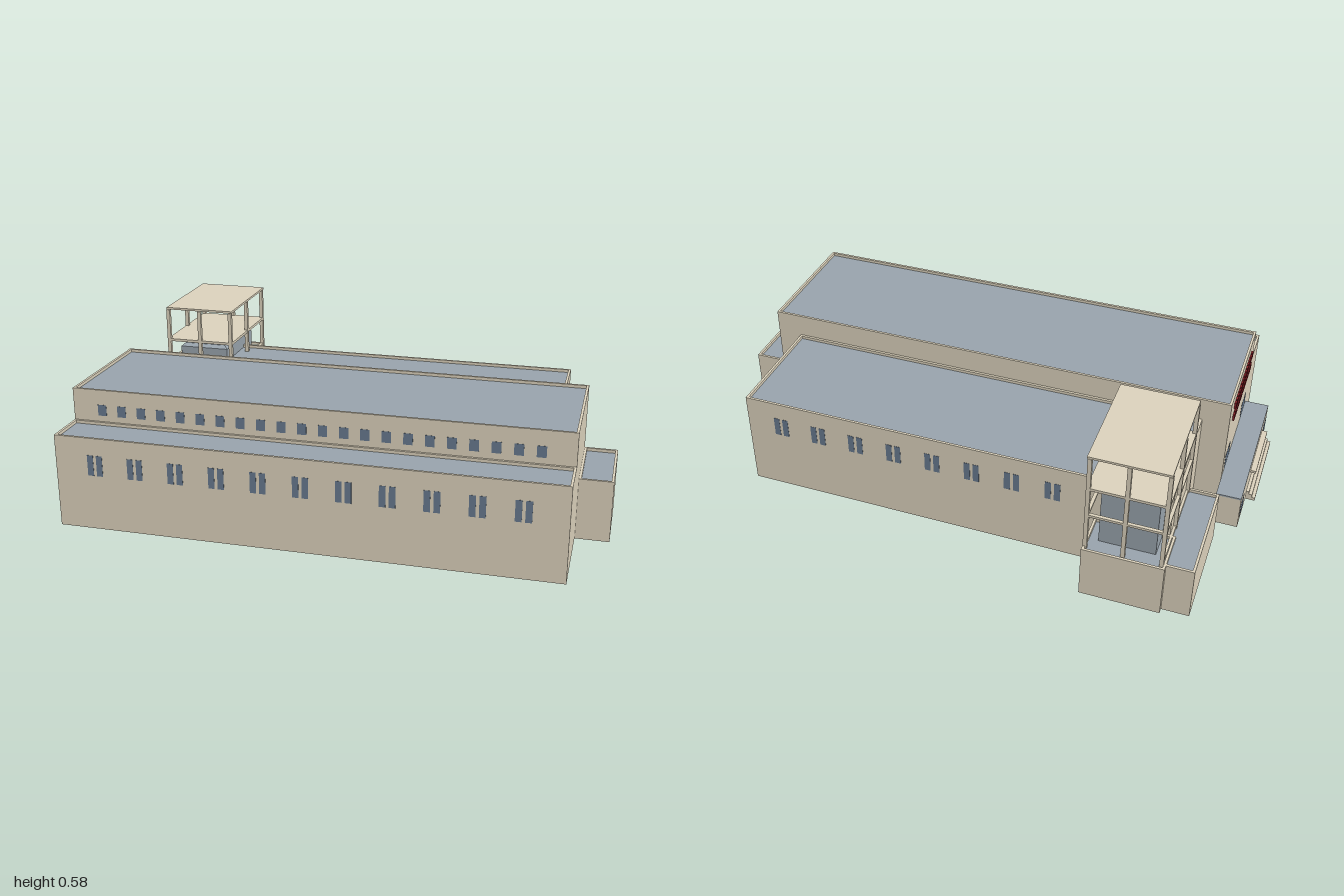
import * as THREE from 'three';

const mat = (name, color, side = THREE.FrontSide) => {
  const m = new THREE.MeshStandardMaterial({ color, side });
  m.name = name;
  return m;
};

export function createModel() {
  const model = new THREE.Group();
  model.name = 'industrialBuilding';
  const wall = mat('beige wall', 0xded4be, THREE.DoubleSide);
  const roofing = mat('blue grey roof', 0x9aa5ae);
  const glass = mat('window blue', 0x697b90);
  const red = mat('dark red', 0x861f25);

  // Box given by its limits on each axis
  function box(name, material, x0, x1, y0, y1, z0, z1, parent = model) {
    const geo = new THREE.BoxGeometry(x1 - x0, y1 - y0, z1 - z0);
    const mesh = new THREE.Mesh(geo, material);
    mesh.position.set((x0 + x1) / 2, (y0 + y1) / 2, (z0 + z1) / 2);
    mesh.name = name;
    parent.add(mesh);
    return mesh;
  }

  // Four thin walls, open below and above
  function shell(name, x0, x1, h, z0, z1, parent = model) {
    const mesh = box(name, wall, x0, x1, 0, h, z0, z1, parent);
    const index = Array.from(mesh.geometry.index.array);
    mesh.geometry.setIndex([...index.slice(0, 12), ...index.slice(24)]);
    mesh.geometry.clearGroups();
  }

  // Hollow block with a sunken flat roof behind a parapet
  function block(name, x0, x1, z0, z1, h, depth = 0.012, t = 0.009) {
    const g = new THREE.Group();
    g.name = name;
    model.add(g);
    shell(name + 'Walls', x0, x1, h - depth, z0, z1, g);
    box(name + 'Roof', roofing, x0 + 0.001, x1 - 0.001, h - depth - 0.003, h - depth + 0.001, z0 + 0.001, z1 - 0.001, g);
    const rect = (P, i) => new P([
      new THREE.Vector2(x0 + i, -z0 - i), new THREE.Vector2(x0 + i, -z1 + i),
      new THREE.Vector2(x1 - i, -z1 + i), new THREE.Vector2(x1 - i, -z0 - i),
    ]);
    const shape = rect(THREE.Shape, 0);
    shape.holes.push(rect(THREE.Path, t));
    const geo = new THREE.ExtrudeGeometry(shape, { depth, bevelEnabled: false });
    geo.rotateX(-Math.PI / 2);
    const parapet = new THREE.Mesh(geo, wall);
    parapet.position.y = h - depth;
    parapet.name = name + 'Parapet';
    g.add(parapet);
  }

  // Building volumes
  block('mainHall', -0.875, 0.882, -0.025, 0.46, 0.455);
  block('frontAisle', -0.875, 0.882, 0.46, 0.62, 0.338);
  block('rearHall', -0.78, 0.79, -0.455, -0.025, 0.37);
  block('sideAnnex', 0.882, 1.0, -0.02, 0.28, 0.222);
  block('towerBase', -0.8, -0.52, -0.62, -0.455, 0.2);
  block('towerAnnex', -0.895, -0.78, -0.6, -0.2, 0.2);

  // Low entrance wing with a flat roof sheet, canopy and steps
  shell('entranceWing', -0.965, -0.875, 0.127, -0.122, 0.455);
  box('entranceRoof', roofing, -0.965, -0.875, 0.127, 0.133, -0.122, 0.455);
  box('entranceCanopy', wall, -0.985, -0.965, 0.086, 0.096, 0.09, 0.34);
  for (let i = 0; i < 3; i++) {
    box('entranceStep', wall, -1 + i * 0.012, -0.965, i * 0.012, (i + 1) * 0.012, 0.04, 0.39);
  }

  // Clerestory windows
  for (let i = 0; i < 22; i++) {
    const x = -0.767 + i * 0.0731;
    box('clerestoryWindow', glass, x - 0.016, x + 0.016, 0.36, 0.4, 0.459, 0.461);
  }

  // Paired windows on the front aisle and the rear hall
  function windowPair(name, x, y0, y1, z) {
    for (const s of [-1, 1]) {
      const c = x + s * 0.0165;
      box(name, glass, c - 0.011, c + 0.011, y0, y1, z - 0.001, z + 0.001);
    }
  }
  for (let i = 0; i < 11; i++) windowPair('aisleWindow', -0.729 + i * 0.1465, 0.2, 0.275, 0.62);
  for (let i = 0; i < 8; i++) windowPair('rearWindow', 0.657 - i * 0.1465, 0.232, 0.305, -0.455);

  // End wall windows
  for (const z of [0.06, 0.375]) box('endWindow', glass, -0.876, -0.874, 0.142, 0.2, z - 0.045, z + 0.045);
  for (const z of [-0.07, 0.405]) box('wingWindow', glass, -0.966, -0.964, 0.035, 0.09, z - 0.035, z + 0.035);

  // Two rows of plain red tiles on the end wall
  for (const y of [0.347, 0.398]) {
    for (let i = 0; i < 14; i++) {
      const z = 0.06 + i * 0.025;
      box('wallTile', red, -0.882, -0.875, y - 0.013, y + 0.013, z - 0.009, z + 0.009);
    }
  }

  // Open frame tower: columns, ring beams and slabs
  const tower = new THREE.Group();
  tower.name = 'frameTower';
  model.add(tower);
  const xs = [-0.785, -0.655, -0.527];
  const zs = [-0.208, -0.4, -0.594];
  const r = 0.007;
  xs.forEach((x, i) => zs.forEach((z, j) => {
    if (i === 1 && j === 1) return;
    box('towerColumn', wall, x - r, x + r, 0.186, 0.57, z - r, z + r, tower);
  }));
  for (const z of [zs[0], zs[2]]) box('towerBeam', wall, -0.79, -0.522, 0.329, 0.338, z - 0.006, z + 0.006, tower);
  for (const x of [xs[0], xs[2]]) box('towerBeam', wall, x - 0.006, x + 0.006, 0.329, 0.338, -0.6, -0.202, tower);
  box('towerFloor', wall, -0.791, -0.521, 0.441, 0.451, -0.6, -0.202, tower);
  box('towerRoof', wall, -0.79, -0.518, 0.572, 0.58, -0.602, -0.2, tower);

  // Tank with a chamfered top
  box('tankBody', roofing, -0.755, -0.56, 0.186, 0.408, -0.55, -0.25, tower);
  const cap = box('tankCap', roofing, -0.755, -0.56, 0.408, 0.42, -0.55, -0.25, tower);
  const p = cap.geometry.attributes.position;
  for (let i = 0; i < p.count; i++) {
    if (p.getY(i) > 0) {
      p.setX(i, p.getX(i) - Math.sign(p.getX(i)) * 0.014);
      p.setZ(i, p.getZ(i) - Math.sign(p.getZ(i)) * 0.014);
    }
  }
  cap.geometry.computeVertexNormals();

  return model;
}
